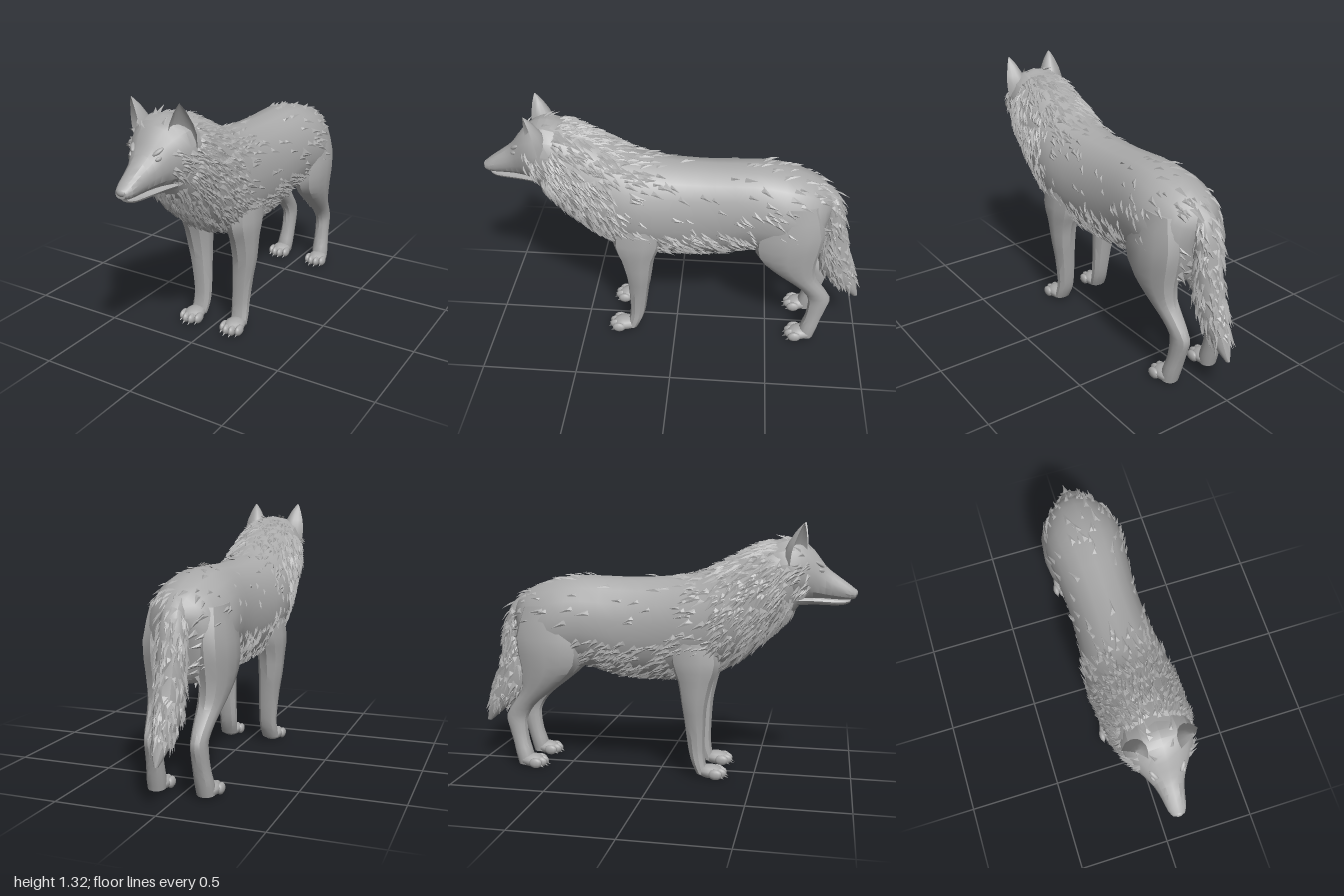
import * as THREE from 'three';
import { toCreasedNormals, mergeVertices } from 'three/addons/utils/BufferGeometryUtils.js';

const V = (x, y, z) => new THREE.Vector3(x, y, z);

// Seeded random numbers for the fur
let seed = 7;
const rand = () => {
  seed = (seed * 16807) % 2147483647;
  return seed / 2147483647;
};

// Smooth in-between sections (Catmull-Rom on each value)
function refine(rows, steps) {
  const out = [];
  for (let i = 0; i < rows.length - 1; i++) {
    const a = rows[Math.max(i - 1, 0)], b = rows[i], c = rows[i + 1], d = rows[Math.min(i + 2, rows.length - 1)];
    for (let k = 0; k < steps; k++) {
      const t = k / steps;
      out.push(b.map((_, j) => b[j] + 0.5 * t * (c[j] - a[j] +
        t * (2 * a[j] - 5 * b[j] + 4 * c[j] - d[j] + t * (3 * (b[j] - c[j]) + d[j] - a[j])))));
    }
  }
  out.push(rows[rows.length - 1]);
  return out;
}

// Section [z1, y1, z2, y2, xMin, xMax] becomes an oval ring of points
function ring([z1, y1, z2, y2, xa, xb], n, side) {
  const pts = [];
  for (let j = 0; j < n; j++) {
    const a = (j / n) * Math.PI * 2, c = Math.cos(a), s = Math.sin(a);
    const e = Math.sign(s) * Math.abs(s) ** 0.88;
    pts.push(V(side * ((xa + xb) / 2 + (xb - xa) / 2 * e),
      (y1 + y2) / 2 + (y1 - y2) / 2 * c, (z1 + z2) / 2 + (z1 - z2) / 2 * c));
  }
  return pts;
}
const makeRings = (rows, n, steps = 2, side = 1) => refine(rows, steps).map(r => ring(r, n, side));
const symmetric = rows => rows.map(r => [...r.slice(0, 4), -r[4], r[4]]);

// Closed skin over a list of rings, turned so that it faces outward
function skin(rings, crease = 0.6) {
  const n = rings[0].length, pts = rings.flat(), tris = [];
  for (let i = 0; i < rings.length - 1; i++) {
    for (let j = 0; j < n; j++) {
      const a = i * n + j, b = i * n + (j + 1) % n;
      tris.push([a, b, a + n], [b, b + n, a + n]);
    }
  }
  const centre = r => r.reduce((s, p) => s.add(p), V(0, 0, 0)).divideScalar(n);
  const first = pts.push(centre(rings[0])) - 1;
  const last = pts.push(centre(rings[rings.length - 1])) - 1;
  const base = (rings.length - 1) * n;
  for (let j = 0; j < n; j++) {
    const k = (j + 1) % n;
    tris.push([first, k, j], [last, base + j, base + k]);
  }
  const volume = tris.reduce((s, [a, b, c]) => s + pts[a].dot(V(0, 0, 0).crossVectors(pts[b], pts[c])), 0);
  const g = new THREE.BufferGeometry().setFromPoints(pts);
  g.setIndex(tris.flatMap(([a, b, c]) => volume < 0 ? [a, c, b] : [a, b, c]));
  return toCreasedNormals(g, crease);
}

// Folded pointed locks of fur lying on a ringed surface
function furOn(rings, count, density, flow, length, range = [0, 1]) {
  const pts = [], n = rings[0].length;
  while (count-- > 0) {
    const u = (range[0] + rand() * (range[1] - range[0])) * (rings.length - 1.001), v = rand() * n;
    const i = Math.floor(u), j = Math.floor(v) % n, k = (j + 1) % n, fu = u - i, fv = v - Math.floor(v);
    const lo = rings[i][j].clone().lerp(rings[i][k], fv), hi = rings[i + 1][j].clone().lerp(rings[i + 1][k], fv);
    const p = lo.clone().lerp(hi, fu);
    if (rand() > density(p)) continue;
    const normal = V(0, 0, 0).crossVectors(hi.clone().sub(lo), rings[i][k].clone().sub(rings[i][j])).normalize();
    const mid = rings[i][j].clone().add(rings[i][(j + n / 2) % n]).multiplyScalar(0.5);
    if (normal.dot(p.clone().sub(mid)) < 0) normal.negate();
    const d = flow(p).add(V(rand() - 0.5, rand() - 0.5, rand() - 0.5).multiplyScalar(0.6));
    d.addScaledVector(normal, -d.dot(normal)).normalize();
    const s = V(0, 0, 0).crossVectors(normal, d), len = length * (0.65 + rand() * 0.7), w = len * 0.2;
    const at = (along, across, up) => p.clone().addScaledVector(d, along * len).addScaledVector(s, across * w).addScaledVector(normal, up);
    const L = at(0, 1, -0.003), R = at(0, -1, -0.003), M = at(0.4, 0, 0.011), T = at(1, 0, 0.009 + rand() * 0.009);
    pts.push(L, M, T, M, R, T, L, R, M);
  }
  const g = new THREE.BufferGeometry().setFromPoints(pts);
  g.computeVertexNormals();
  return g;
}

export function createModel() {
  const model = new THREE.Group();
  model.name = 'wolf';
  const coat = new THREE.MeshStandardMaterial({ color: 0xaaaaaa });
  coat.name = 'grey coat';
  const lock = new THREE.MeshStandardMaterial({ color: 0xaaaaaa, side: THREE.DoubleSide });
  lock.name = 'grey fur';
  const add = (name, geometry, material = coat, parent = model) => {
    const m = new THREE.Mesh(geometry, material);
    m.name = name;
    parent.add(m);
    return m;
  };
  const ball = (name, pos, size, parent = model) => {
    const m = add(name, new THREE.SphereGeometry(1, 10, 7), coat, parent);
    m.position.set(...pos);
    m.scale.set(...size);
    return m;
  };

  // Torso and neck, rump to throat
  const body = makeRings(symmetric([
    [-0.81, 0.86, -0.77, 0.72, 0.05], [-0.76, 0.935, -0.745, 0.58, 0.13], [-0.68, 0.985, -0.70, 0.52, 0.18],
    [-0.55, 1.025, -0.58, 0.54, 0.208], [-0.4, 1.04, -0.4, 0.56, 0.195], [-0.2, 1.035, -0.22, 0.515, 0.183],
    [0, 1.04, -0.02, 0.505, 0.19], [0.18, 1.06, 0.18, 0.52, 0.212], [0.27, 1.095, 0.36, 0.585, 0.215],
    [0.36, 1.14, 0.49, 0.675, 0.207], [0.46, 1.19, 0.59, 0.765, 0.195], [0.55, 1.225, 0.665, 0.845, 0.185],
    [0.62, 1.24, 0.71, 0.905, 0.165]]), 18, 2);
  add('torso', skin(body));
  add('bodyFur', furOn(body, 3200,
    p => p.z > 0.3 ? 0.9 : p.y < 0.72 && p.z > -0.4 ? 0.85 : p.z > 0.1 ? 0.35 : 0.13,
    p => p.z > 0.3 ? V(0, -0.8, -0.7) : V(0, -0.45, -1), 0.068, [0.05, 0.97]), lock);

  // Tail
  const tail = makeRings(symmetric([
    [-0.74, 0.95, -0.70, 0.82, 0.05], [-0.82, 0.89, -0.74, 0.78, 0.06], [-0.865, 0.78, -0.76, 0.70, 0.066],
    [-0.885, 0.66, -0.76, 0.60, 0.066], [-0.92, 0.52, -0.755, 0.48, 0.064], [-0.955, 0.40, -0.80, 0.37, 0.057],
    [-0.985, 0.29, -0.90, 0.28, 0.036], [-0.998, 0.22, -0.975, 0.215, 0.008]]), 12, 2);
  add('tail', skin(tail));
  add('tailFur', furOn(tail, 260, () => 1, () => V(0, -1, -0.3), 0.07, [0.12, 0.8]), lock);

  // Head: skull with muzzle, lower jaw, nose
  const head = makeRings(symmetric([
    [0.56, 1.22, 0.58, 0.93, 0.165], [0.65, 1.25, 0.66, 0.92, 0.172], [0.72, 1.232, 0.72, 0.925, 0.15],
    [0.78, 1.185, 0.78, 0.935, 0.112], [0.84, 1.105, 0.84, 0.938, 0.075], [0.90, 1.058, 0.90, 0.937, 0.056],
    [0.96, 1.015, 0.96, 0.938, 0.044], [0.99, 0.99, 0.99, 0.948, 0.028]]), 14, 2);
  add('head', skin(head, 0.45));
  add('cheekFur', furOn(head, 260, p => p.y < 1.13 ? 0.9 : 0.1, () => V(0, -0.6, -1), 0.06, [0.05, 0.4]), lock);
  add('lowerJaw', skin(makeRings(symmetric([
    [0.68, 0.97, 0.69, 0.905, 0.10], [0.78, 0.96, 0.78, 0.912, 0.075], [0.87, 0.95, 0.87, 0.909, 0.048],
    [0.94, 0.945, 0.93, 0.912, 0.034], [0.965, 0.942, 0.96, 0.925, 0.018]]), 12)));
  ball('nose', [0, 0.975, 0.982], [0.026, 0.019, 0.018]);

  // Shared paw: pad, four toes and claws
  const paw = (parent, s, z, side) => {
    ball(side + 'PawPad', [s * 0.125, 0.041, z], [0.054, 0.036, 0.07], parent);
    [-0.046, -0.016, 0.016, 0.046].forEach((dx, i) => {
      const out = i % 3 ? 0.05 : 0.032;
      ball(side + 'Toe' + i, [s * 0.125 + dx, 0.036, z + out], [0.018, 0.028, 0.037], parent);
      const claw = add(side + 'Claw' + i, new THREE.ConeGeometry(0.007, 0.028, 5), coat, parent);
      claw.position.set(s * 0.125 + dx, 0.02, z + out + 0.034);
      claw.rotation.x = 2.0;
    });
  };

  for (const [s, side] of [[1, 'left'], [-1, 'right']]) {
    // Front leg
    const front = new THREE.Group();
    front.name = side + 'FrontLeg';
    model.add(front);
    add(side + 'Foreleg', skin(makeRings([
      [0.30, 0.80, 0.06, 0.78, 0.06, 0.195], [0.33, 0.62, 0.07, 0.62, 0.06, 0.215], [0.295, 0.52, 0.11, 0.52, 0.065, 0.21],
      [0.265, 0.40, 0.13, 0.40, 0.07, 0.2], [0.255, 0.30, 0.145, 0.30, 0.07, 0.183], [0.25, 0.15, 0.165, 0.15, 0.07, 0.166],
      [0.258, 0.08, 0.185, 0.08, 0.072, 0.168], [0.27, 0.03, 0.21, 0.03, 0.08, 0.168]], 10, 2, s)), coat, front);
    paw(front, s, 0.282, side + 'Front');

    // Hind leg: haunch, hock and foot
    const hind = new THREE.Group();
    hind.name = side + 'HindLeg';
    model.add(hind);
    add(side + 'Haunch', skin(makeRings([
      [-0.45, 0.90, -0.72, 0.88, 0.05, 0.185], [-0.41, 0.70, -0.765, 0.72, 0.04, 0.217], [-0.42, 0.58, -0.74, 0.56, 0.05, 0.212],
      [-0.50, 0.49, -0.735, 0.48, 0.06, 0.197], [-0.60, 0.41, -0.745, 0.425, 0.065, 0.18], [-0.67, 0.35, -0.78, 0.37, 0.07, 0.165],
      [-0.71, 0.29, -0.833, 0.29, 0.075, 0.152], [-0.72, 0.24, -0.825, 0.23, 0.075, 0.152], [-0.71, 0.15, -0.80, 0.15, 0.075, 0.156],
      [-0.685, 0.07, -0.782, 0.08, 0.075, 0.166], [-0.68, 0.025, -0.765, 0.02, 0.08, 0.166]], 12, 2, s)), coat, hind);
    paw(hind, s, -0.692, side + 'Hind');

    // Ear: crescent sections, hollow side forward and outward
    const turn = 0.6;
    const ear = [[0, 0.95], [0.3, 1], [0.55, 0.8], [0.8, 0.45], [0.93, 0.2], [1, 0.04]].map(([t, k]) => {
      const pts = [];
      for (let j = 0; j < 14; j++) {
        const a = (j < 7 ? j : 14 - j) / 7 * Math.PI;
        const x = 0.064 * k * Math.cos(a), z = -0.085 * k * Math.sin(a) * (j < 7 ? 1 : 0.55);
        pts.push(V(s * (0.124 + 0.006 * t + x * Math.cos(turn) + z * Math.sin(turn)),
          1.115 + 0.205 * t, 0.70 + 0.03 * t - x * Math.sin(turn) + z * Math.cos(turn)));
      }
      return pts;
    });
    add(side + 'Ear', skin(ear, 0.9));

    // Eye and brow
    const eye = ball(side + 'Eye', [s * 0.075, 1.088, 0.815], [0.008, 0.01, 0.018]);
    eye.rotation.set(0.35, s * -0.45, 0);
    const brow = ball(side + 'Brow', [s * 0.068, 1.118, 0.808], [0.012, 0.01, 0.03]);
    brow.rotation.set(0.6, s * -0.5, 0);
  }
  return model;
}
